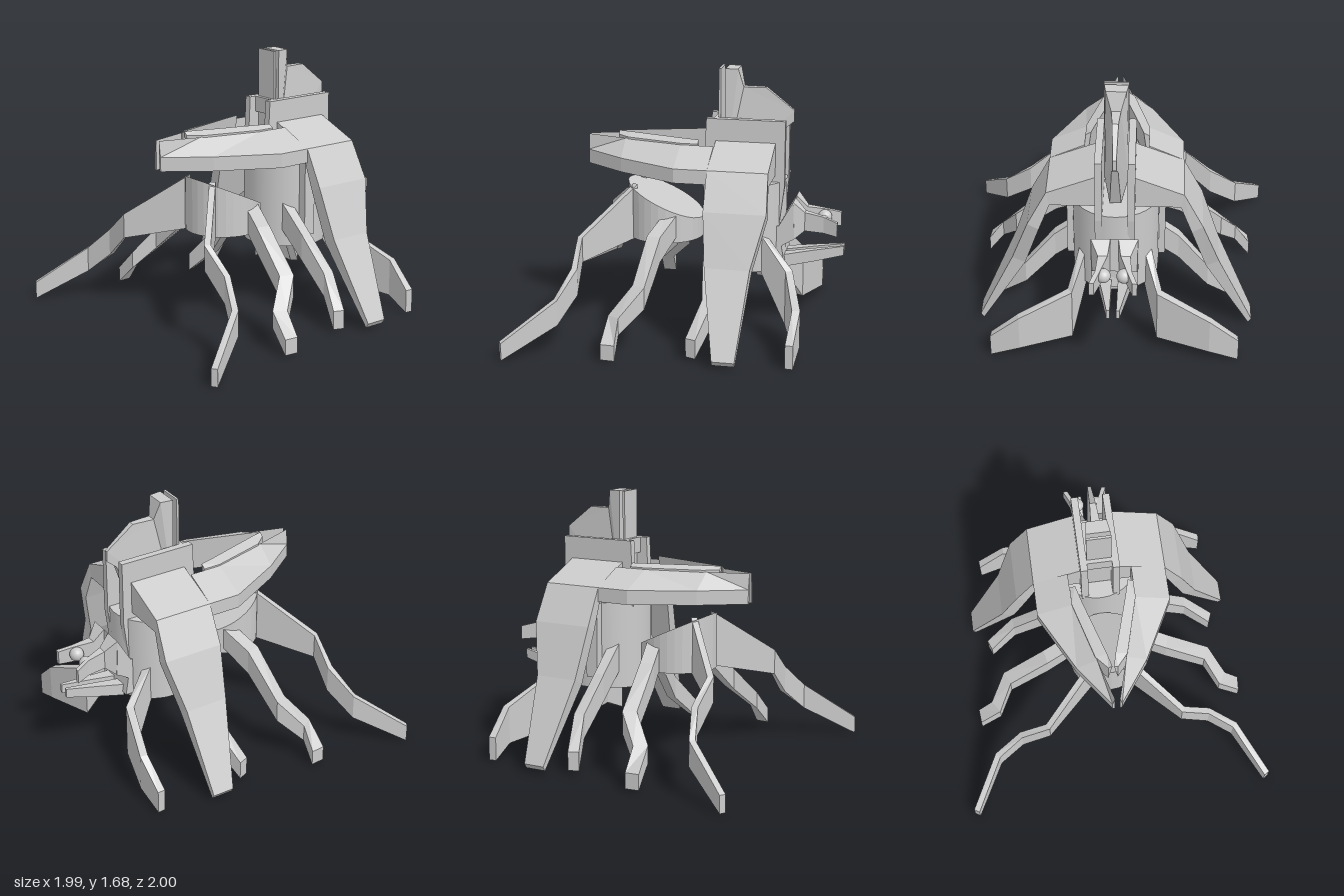
import * as THREE from 'three';

const mat = new THREE.MeshStandardMaterial({ color: 0xcccccc, flatShading: true, side: THREE.DoubleSide });
const smoothMat = new THREE.MeshStandardMaterial({ color: 0xcccccc });

// Closed solid skinned over a run of equal-length cross-sections
function loft(sections) {
  const tris = [], n = sections[0].length, last = sections[sections.length - 1];
  for (let i = 0; i < sections.length - 1; i++) {
    const a = sections[i], b = sections[i + 1];
    for (let j = 0; j < n; j++) {
      const k = (j + 1) % n;
      tris.push([a[j], a[k], b[k]], [a[j], b[k], b[j]]);
    }
  }
  for (let j = 1; j < n - 1; j++) {
    tris.push([sections[0][0], sections[0][j + 1], sections[0][j]], [last[0], last[j], last[j + 1]]);
  }
  // Turn the faces outward if the signed volume is negative
  let volume = 0;
  for (const [a, b, c] of tris) {
    volume += new THREE.Vector3(...a).dot(new THREE.Vector3(...b).cross(new THREE.Vector3(...c)));
  }
  if (volume < 0) tris.forEach(t => t.reverse());
  const geo = new THREE.BufferGeometry();
  geo.setAttribute('position', new THREE.Float32BufferAttribute(tris.flat(2), 3));
  geo.computeVertexNormals();
  return geo;
}

// Leg from stations [x, yTop, yBottom, z], with a constant thickness in plan
function legSections(stations, thickness) {
  return stations.map(([x, top, bottom, z], i) => {
    const p = stations[Math.max(i - 1, 0)], q = stations[Math.min(i + 1, stations.length - 1)];
    const dx = q[0] - p[0], dz = q[3] - p[3], s = thickness / 2 / Math.hypot(dx, dz);
    const ox = -dz * s, oz = dx * s;
    return [[x + ox, top, z + oz], [x - ox, top, z - oz], [x - ox, bottom, z - oz], [x + ox, bottom, z + oz]];
  });
}

// Plate cut from a [z, y] profile, standing in the side plane, centred on x = 0
function sidePlate(profile, width) {
  const shape = new THREE.Shape(profile.map(([z, y]) => new THREE.Vector2(-z, y)));
  return new THREE.ExtrudeGeometry(shape, { depth: width, bevelEnabled: false })
    .translate(0, 0, -width / 2).rotateY(Math.PI / 2);
}

export function createModel() {
  const model = new THREE.Group();
  const add = (name, geo, material = mat) => {
    const mesh = new THREE.Mesh(geo, material);
    mesh.name = name;
    model.add(mesh);
    return mesh;
  };
  const box = (name, w, h, d, x, y, z) => add(name, new THREE.BoxGeometry(w, h, d).translate(x, y, z));
  const pair = (name, sections) => {
    for (const s of [1, -1]) {
      add((s > 0 ? 'left' : 'right') + name, loft(sections.map(c => c.map(([x, y, z]) => [s * x, y, z]))));
    }
  };

  // Main body drum
  add('bodyDrum', new THREE.CylinderGeometry(0.27, 0.27, 0.56, 32).translate(0, 0.7, -0.35), smoothMat);

  // Front drum with its top cut on a slope rising to the front
  const drum = new THREE.CylinderGeometry(0.245, 0.245, 1, 32).translate(0, 0.5, 0.165);
  const p = drum.attributes.position;
  for (let i = 0; i < p.count; i++) {
    p.setY(i, p.getY(i) > 0.5 ? 0.7 + (p.getZ(i) + 0.08) * 0.47 : 0.57);
  }
  drum.computeVertexNormals();
  add('frontDrum', drum);

  // Four pairs of walking legs
  pair('FrontLeg', legSections([
    [0.12, 0.92, 0.57, 0.34], [0.44, 0.64, 0.48, 0.625], [0.62, 0.49, 0.32, 0.615],
    [0.79, 0.34, 0.18, 0.69], [0.98, 0.11, 0, 0.99]], 0.04));
  pair('SecondLeg', legSections([
    [0.18, 0.76, 0.62, 0.09], [0.4, 0.66, 0.5, 0.16], [0.67, 0.42, 0.28, 0.195],
    [0.77, 0.25, 0.14, 0.33], [0.89, 0.11, 0.01, 0.34]], 0.09));
  pair('ThirdLeg', legSections([
    [0.2, 0.71, 0.53, -0.2], [0.4, 0.55, 0.38, -0.19],
    [0.59, 0.33, 0.18, -0.22], [0.77, 0.14, 0.02, -0.15]], 0.07));
  pair('RearLeg', legSections([
    [0.2, 0.66, 0.42, -0.5], [0.28, 0.45, 0.1, -0.68],
    [0.6, 0.31, 0.07, -0.77], [0.78, 0.15, 0, -0.755]], 0.05));

  // Shoulder slabs, and the claws reaching forward from them
  const slab = (z, inner, outer, top = 1.21) =>
    [[inner, top, z], [outer, 1.11, z], [outer, 1.02, z], [inner, 1.02, z]];
  pair('Shoulder', [slab(-0.56, 0.12, 0.42, 1.23), slab(-0.18, 0.12, 0.42, 1.23)]);
  pair('Claw', [slab(-0.18, 0.2, 0.42), slab(0.03, 0.2, 0.42), slab(0.41, 0.09, 0.22), slab(0.67, 0.015, 0.03)]);
  // Raised blades filling the inner edge of each claw, leaning inward at the top
  const blade = (z, inner, outer) =>
    [[inner, 1.24, z], [outer, 1.22, z], [outer, 1.02, z], [Math.min(inner + 0.03, outer), 1.02, z]];
  pair('ClawBlade', [blade(-0.08, 0.165, 0.2), blade(0.03, 0.135, 0.2), blade(0.39, 0.025, 0.1), blade(0.47, 0.005, 0.03)]);

  // Broad side limbs bending down from the shoulders: [outer x, y, inner x, y, z front, z back]
  pair('SideLimb', [
    [0.42, 1.11, 0.4, 1.02, -0.18, -0.56], [0.54, 0.88, 0.47, 0.84, -0.18, -0.57],
    [0.65, 0.56, 0.57, 0.52, -0.21, -0.49], [0.88, 0.05, 0.86, 0.02, -0.3, -0.44],
  ].map(([ox, oy, ix, iy, f, b]) => [[ox, oy, f], [ox, oy, b], [ix, iy, b], [ix, iy, f]]));

  // Upright bars beside the drum and rails along the back
  for (const s of [1, -1]) {
    box('sideBar', 0.06, 0.48, 0.08, s * 0.28, 0.74, -0.3);
    add('backRail', sidePlate([[-0.12, 1.37], [-0.62, 1.37], [-0.62, 0.95], [-0.59, 0.7],
      [-0.55, 0.7], [-0.5, 0.95], [-0.1, 0.95]], 0.045)).position.x = s * 0.1;
  }
  box('crossBar', 0.2, 0.1, 0.03, 0, 1.32, -0.18);

  // Tower: thin face plate with a block behind that tapers to the rear and to a narrow ridge
  box('towerPlate', 0.155, 0.69, 0.015, 0, 1.335, -0.197);
  const tower = sidePlate([[-0.23, 1.68], [-0.31, 1.68], [-0.34, 1.56], [-0.48, 1.56],
    [-0.66, 1.42], [-0.66, 1.35], [-0.6, 1.3], [-0.5, 1.0], [-0.23, 1.0]], 0.15);
  const t = tower.attributes.position;
  for (let i = 0; i < t.count; i++) {
    const ridge = t.getY(i) > 1.5 && t.getZ(i) < -0.33 ? 0.5 : 1;
    t.setX(i, t.getX(i) * ridge * THREE.MathUtils.mapLinear(t.getZ(i), -0.66, -0.23, 0.15, 1));
  }
  tower.computeVertexNormals();
  add('towerBlock', tower);

  // Head at the rear with a raised crest, then horns, mandibles and eyes
  add('head', sidePlate([[-0.54, 0.45], [-0.54, 0.7], [-0.59, 0.7], [-0.68, 0.86],
    [-0.69, 0.62], [-0.61, 0.57], [-0.63, 0.45]], 0.29));
  const rect = (x0, x1, y0, y1, z) => [[x0, y1, z], [x1, y1, z], [x1, y0, z], [x0, y0, z]];
  pair('Horn', [rect(0.025, 0.145, 0.61, 0.86, -0.68), rect(0.04, 0.1, 0.665, 0.785, -0.75),
    rect(0.08, 0.11, 0.66, 0.765, -0.87), rect(0.115, 0.145, 0.65, 0.74, -0.96)]);
  pair('Mandible', [rect(0.02, 0.1, 0.42, 0.5, -0.62), rect(0.02, 0.07, 0.455, 0.53, -0.8),
    rect(0.02, 0.04, 0.5, 0.56, -0.995)]);
  for (const s of [1, -1]) {
    add('eye', new THREE.SphereGeometry(0.045, 20, 14).translate(s * 0.062, 0.72, -0.86), smoothMat);
  }
  return model;
}
